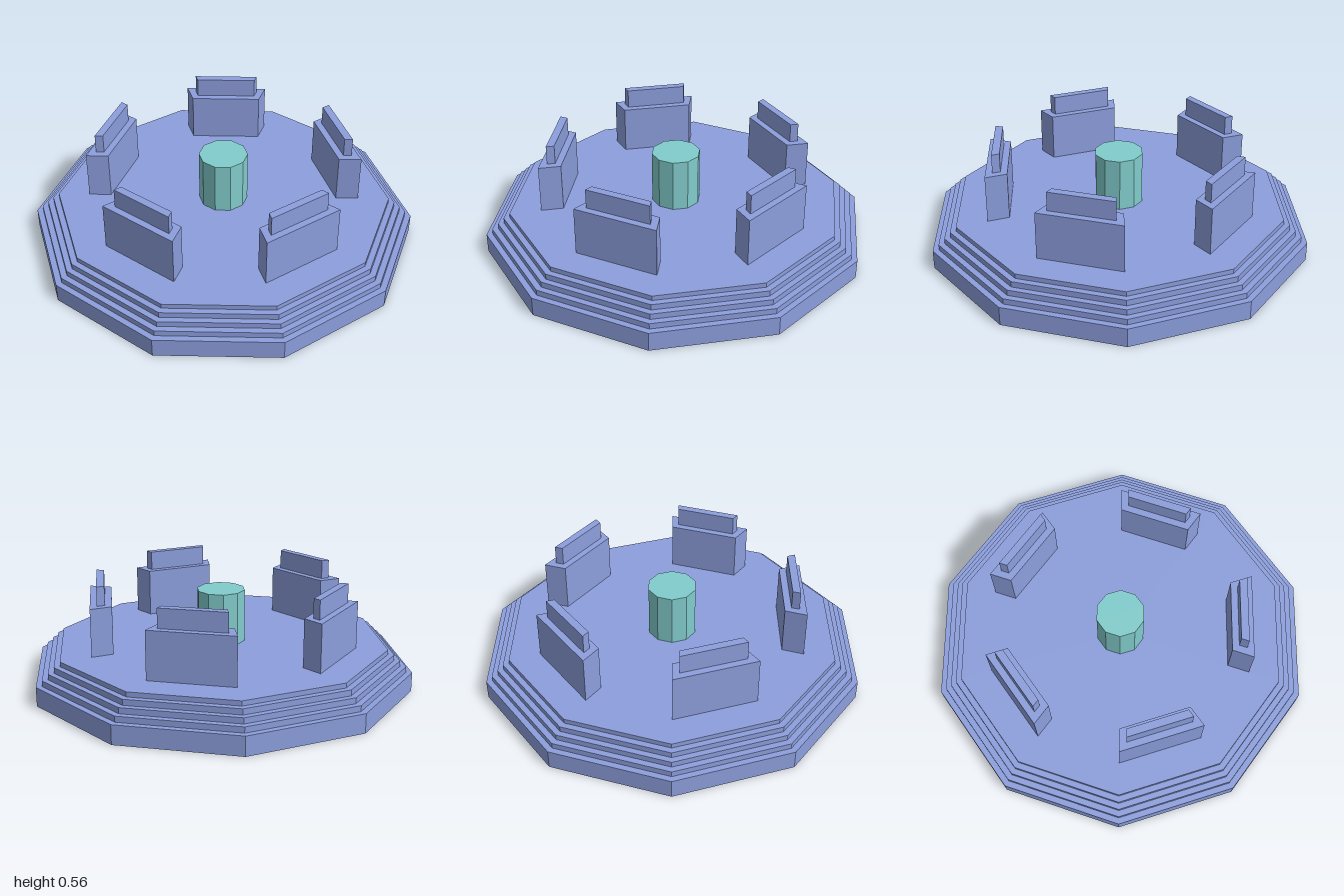
import * as THREE from 'three';

const SIDES = 10;
const DECK = 0.215;
const TAN = Math.tan(Math.PI / SIDES);

// Upright wedge facing -x; its ends follow the decagon's radii, moved in by `inset`
function wedge(inner, outer, inset, y0, y1) {
  const half = (r) => r * TAN - inset / Math.cos(Math.PI / SIDES);
  const shape = new THREE.Shape([
    new THREE.Vector2(-outer, -half(outer)),
    new THREE.Vector2(-inner, -half(inner)),
    new THREE.Vector2(-inner, half(inner)),
    new THREE.Vector2(-outer, half(outer)),
  ]);
  const geometry = new THREE.ExtrudeGeometry(shape, { depth: y1 - y0, bevelEnabled: false });
  return geometry.rotateX(-Math.PI / 2).translate(0, y0, 0);
}

export function createModel() {
  const model = new THREE.Group();
  model.name = 'steppedPlatform';
  const blue = new THREE.MeshStandardMaterial({ color: 0x8c9edc, flatShading: true });
  const teal = new THREE.MeshStandardMaterial({ color: 0x82cccc, flatShading: true });

  const add = (name, geometry, material, parent = model) => {
    const mesh = new THREE.Mesh(geometry, material);
    mesh.name = name;
    parent.add(mesh);
    return mesh;
  };

  // Ten-sided base with four shallow steps above a thicker plinth
  const radii = [1, 0.968, 0.936, 0.905, 0.873];
  const tops = [0.1, 0.13, 0.16, 0.19, DECK];
  const profile = [new THREE.Vector2(0, 0)];
  radii.forEach((r, i) => {
    profile.push(new THREE.Vector2(r, i ? tops[i - 1] : 0), new THREE.Vector2(r, tops[i]));
  });
  profile.push(new THREE.Vector2(0, DECK));
  add('steppedBase', new THREE.LatheGeometry(profile, SIDES), blue);

  // Central pillar
  const height = 0.49 - DECK;
  const pillar = add('pillar', new THREE.CylinderGeometry(0.126, 0.126, height, SIDES), teal);
  pillar.position.y = DECK + height / 2;

  // Five wall blocks on alternate sides, each with a narrow crest
  const blockGeometry = wedge(0.565, 0.675, 0, DECK, 0.465);
  const crestGeometry = wedge(0.6, 0.64, 0.036, 0.465, 0.565);
  for (let i = 0; i < 5; i++) {
    const wall = new THREE.Group();
    wall.name = `wall${i + 1}`;
    wall.rotation.y = (i * Math.PI * 2) / 5;
    add('wallBlock', blockGeometry, blue, wall);
    add('wallCrest', crestGeometry, blue, wall);
    model.add(wall);
  }
  return model;
}
